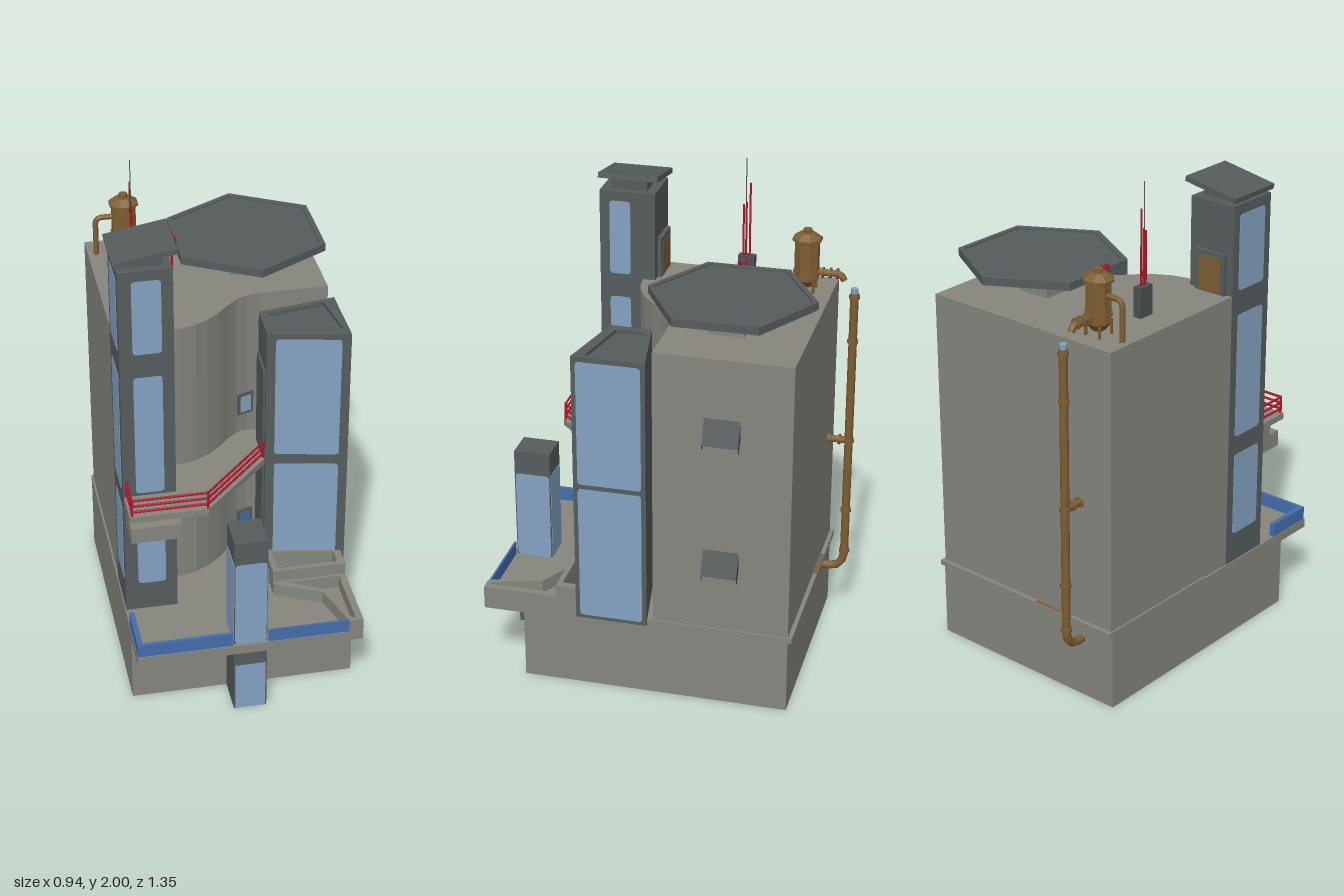
import * as THREE from 'three';

const mat = (name, color, side = THREE.FrontSide) => {
  const m = new THREE.MeshStandardMaterial({ color, side });
  m.name = name;
  return m;
};

export function createModel() {
  const root = new THREE.Group();
  root.name = 'building';
  const concrete = mat('concrete', 0x86867f);
  const dark = mat('dark metal', 0x565c5c);
  const hoodMat = mat('hood metal', 0x4c5050, THREE.DoubleSide);
  const glass = mat('glass', 0x84a3c3);
  const blue = mat('blue panel', 0x446dab);
  const red = mat('red paint', 0xb5162a);
  const brass = mat('brass', 0x7f5e33);

  // ---- helpers ----
  const add = (name, geo, m, x = 0, y = 0, z = 0) => {
    const mesh = new THREE.Mesh(geo, m);
    mesh.name = name;
    mesh.position.set(x, y, z);
    root.add(mesh);
    return mesh;
  };
  const box = (name, m, x0, x1, y0, y1, z0, z1) =>
    add(name, new THREE.BoxGeometry(x1 - x0, y1 - y0, z1 - z0), m, (x0 + x1) / 2, (y0 + y1) / 2, (z0 + z1) / 2);
  // upright prism from a plan outline of [x, z] points, wound anticlockwise so holes face inwards
  const prism = (name, m, pts, y0, y1, hole) => {
    const flat = (p) => {
      const v = p.map(([x, z]) => new THREE.Vector2(x, -z));
      return THREE.ShapeUtils.isClockWise(v) ? v.reverse() : v;
    };
    const shape = new THREE.Shape(flat(pts));
    if (hole) shape.holes.push(new THREE.Path(flat(hole).reverse()));
    const geo = new THREE.ExtrudeGeometry(shape, { depth: y1 - y0, bevelEnabled: false });
    geo.rotateX(-Math.PI / 2);
    return add(name, geo, m, 0, y0, 0);
  };
  // thin rounded plate along a wall from a to b in plan, facing outwards
  const pane = (name, m, a, b, y0, y1, inset = 0, r = 0.015, depth = 0.002) => {
    const w = Math.hypot(b[0] - a[0], b[1] - a[1]) / 2 - inset, h = (y1 - y0) / 2;
    const s = new THREE.Shape();
    s.moveTo(-w + r, -h);
    s.lineTo(w - r, -h); s.quadraticCurveTo(w, -h, w, -h + r);
    s.lineTo(w, h - r); s.quadraticCurveTo(w, h, w - r, h);
    s.lineTo(-w + r, h); s.quadraticCurveTo(-w, h, -w, h - r);
    s.lineTo(-w, -h + r); s.quadraticCurveTo(-w, -h, -w + r, -h);
    const geo = new THREE.ExtrudeGeometry(s, { depth, bevelEnabled: false, curveSegments: 3 });
    const mesh = add(name, geo, m, (a[0] + b[0]) / 2, (y0 + y1) / 2, (a[1] + b[1]) / 2);
    mesh.rotation.y = Math.atan2(a[1] - b[1], b[0] - a[0]);
    return mesh;
  };
  // straight rod between two points
  const rod = (name, m, a, b, r, sides = 6) => {
    const p = new THREE.Vector3(...a), q = new THREE.Vector3(...b);
    const mesh = add(name, new THREE.CylinderGeometry(r, r, p.distanceTo(q), sides), m);
    mesh.position.copy(p).add(q).multiplyScalar(0.5);
    mesh.quaternion.setFromUnitVectors(new THREE.Vector3(0, 1, 0), q.sub(p).normalize());
    return mesh;
  };
  // pipe with one rounded bend
  const pipe = (name, pts, r) => {
    const path = new THREE.CurvePath();
    const v = pts.map((p) => new THREE.Vector3(...p));
    path.add(new THREE.LineCurve3(v[0], v[1]));
    path.add(new THREE.QuadraticBezierCurve3(v[1], v[2], v[3]));
    path.add(new THREE.LineCurve3(v[3], v[4]));
    add(name, new THREE.TubeGeometry(path, 40, r, 10), brass);
  };

  // ---- hollow base, terrace slab and ledge ----
  prism('baseWalls', concrete, [[-0.46, -0.56], [0.43, -0.56], [0.43, 0.51], [-0.46, 0.51]], 0, 0.29,
    [[-0.455, -0.555], [0.425, -0.555], [0.425, 0.505], [-0.455, 0.505]]);
  box('terraceSlab', concrete, -0.46, 0.43, 0.285, 0.325, -0.56, 0.675);
  box('ledge', concrete, -0.46, 0.434, 0.312, 0.332, -0.577, 0);
  box('rustStain', brass, -0.24, -0.08, 0.331, 0.333, -0.575, -0.562);

  // ---- main block with the curved, faceted front ----
  const bend = new THREE.SplineCurve([[-0.25, 0.195], [-0.17, 0.185], [-0.1, 0.155], [-0.03, 0.1], [0.03, 0.035],
    [0.085, -0.005], [0.15, -0.02]].map((p) => new THREE.Vector2(...p)));
  const front = bend.getPoints(8).map((p) => [p.x, p.y]);
  prism('mainBlock', concrete, [[-0.452, -0.56], [-0.452, 0.195], ...front, [0.425, -0.02], [0.425, -0.56]], 0.325, 1.48);
  for (const [y, m, name] of [[0.41, blue, 'smallDoor'], [0.97, glass, 'smallWindow']]) {
    pane(name + 'Frame', dark, [0.055, 0.04], [0.12, 0.015], y, y + 0.095, 0, 0.004, 0.009);
    pane(name, m, [0.058, 0.048], [0.123, 0.023], y + 0.012, y + 0.083, 0.011, 0.004);
  }

  // ---- stair tower ----
  box('stairTower', dark, -0.455, -0.25, 0.325, 1.84, 0.145, 0.37);
  for (const [y0, y1] of [[0.45, 0.8], [0.88, 1.395], [1.495, 1.8]]) {
    pane('towerFrontWindow', glass, [-0.405, 0.37], [-0.295, 0.37], y0, y1);
    pane('towerLeftWindow', glass, [-0.25, 0.33], [-0.25, 0.245], y0, y1);
    pane('towerRightWindow', glass, [-0.455, 0.18], [-0.455, 0.335], y0, y1);
  }
  box('towerCapBlock', dark, -0.42, -0.28, 1.84, 1.885, 0.185, 0.33);
  box('towerCap', dark, -0.47, -0.23, 1.877, 1.898, 0.13, 0.37).rotation.z = 0.17;
  box('roofDoorFrame', dark, -0.425, -0.285, 1.48, 1.645, 0.127, 0.147);
  pane('roofDoor', brass, [-0.305, 0.127], [-0.405, 0.127], 1.485, 1.625, 0, 0.004);

  // ---- balcony with railing ----
  prism('balcony', concrete, [[-0.452, 0.15], [-0.452, 0.508], [-0.147, 0.508], [0.135, 0.21], [0.135, 0], [0, 0]], 0.842, 0.868);
  box('balconyBracketUpper', concrete, -0.445, -0.25, 0.795, 0.842, 0.36, 0.43);
  box('balconyBracketLower', concrete, -0.445, -0.25, 0.73, 0.796, 0.36, 0.485);
  const rail = [[-0.442, 0.37], [-0.442, 0.5], [-0.15, 0.5], [0.125, 0.205]];
  rail.forEach(([x, z], i) => {
    rod('railPost', red, [x, 0.865, z], [x, 0.943, z], 0.005);
    if (i) for (const y of [0.887, 0.913, 0.938])
      rod('railBar', red, [rail[i - 1][0], y, rail[i - 1][1]], [x, y, z], 0.005);
  });

  // ---- window bay ----
  const bay = [[0.135, 0.055], [0.445, 0], [0.445, 0.288], [0.13, 0.222]];
  prism('windowBay', dark, bay, 0.31, 1.425);
  prism('windowBayRim', dark, bay, 1.425, 1.44, [[0.165, 0.075], [0.395, 0.03], [0.425, 0.24], [0.165, 0.19]]);
  pane('bayInnerPanel', dark, bay[0], bay[3], 0.325, 1.27, 0.015, 0.004, 0.009);
  for (const [y0, y1] of [[0.325, 0.85], [0.895, 1.415]])
    pane('bayFrontGlass', glass, bay[3], bay[2], y0, y1, 0.035);
  for (const [y0, y1] of [[0.325, 0.885], [0.905, 1.42]])
    pane('baySideGlass', glass, bay[2], bay[1], y0, y1, 0.018);

  // ---- planters and blue parapet ----
  prism('upperPlanter', concrete, [[0.135, 0.2], [0.43, 0.26], [0.43, 0.375], [0.135, 0.375]], 0.325, 0.43,
    [[0.155, 0.24], [0.4, 0.285], [0.4, 0.355], [0.155, 0.355]]);
  prism('lowerPlanter', concrete, [[0.135, 0.37], [0.43, 0.37], [0.43, 0.675], [0.375, 0.675], [0.315, 0.475], [0.135, 0.39]],
    0.325, 0.38, [[0.19, 0.387], [0.402, 0.387], [0.402, 0.655], [0.388, 0.655], [0.328, 0.462]]);
  box('parapetFrontRight', blue, -0.455, -0.085, 0.325, 0.38, 0.655, 0.67);
  box('parapetFrontLeft', blue, 0.055, 0.376, 0.325, 0.38, 0.663, 0.671);
  box('parapetSide', blue, -0.458, -0.438, 0.325, 0.38, 0.46, 0.67);

  // ---- glass lift ----
  box('liftUpper', dark, -0.08, 0.05, 0.32, 0.8, 0.51, 0.66);
  box('liftLowerSide', dark, -0.08, -0.074, 0, 0.29, 0.51, 0.66);
  box('liftLowerSide', dark, 0.044, 0.05, 0, 0.29, 0.51, 0.66);
  box('liftLintel', dark, -0.08, 0.05, 0.215, 0.29, 0.65, 0.66);
  box('liftLowerGlass', glass, -0.075, 0.045, 0, 0.215, 0.652, 0.66);
  pane('liftFrontGlass', glass, [-0.08, 0.66], [0.05, 0.66], 0.325, 0.7, 0.003);
  pane('liftLeftGlass', glass, [0.05, 0.66], [0.05, 0.51], 0.325, 0.7, 0.004);
  pane('liftRightGlass', glass, [-0.08, 0.51], [-0.08, 0.66], 0.325, 0.7, 0.004);
  pane('liftBackGlass', glass, [0.05, 0.51], [-0.08, 0.51], 0.325, 0.7, 0.004);

  // ---- hexagonal landing pad and its ladder ----
  const hex = (r) => Array.from({ length: 6 }, (_, i) =>
    [0.145 + r * Math.sin(i * Math.PI / 3), -0.26 + r * Math.cos(i * Math.PI / 3)]);
  prism('landingPad', dark, hex(0.328), 1.595, 1.62);
  prism('landingPadRim', dark, hex(0.328), 1.62, 1.627, hex(0.305));
  box('padSupport', concrete, 0.07, 0.21, 1.48, 1.595, -0.32, -0.18);
  for (const z of [-0.245, -0.222]) {
    rod('ladderPost', red, [-0.152, 1.48, z], [-0.152, 1.645, z], 0.003);
    rod('ladderHandle', red, [-0.154, 1.642, z], [-0.136, 1.642, z], 0.004);
    rod('ladderHandleEnd', red, [-0.138, 1.62, z], [-0.138, 1.642, z], 0.003);
  }
  for (let y = 1.5; y < 1.65; y += 0.028) rod('ladderRung', red, [-0.152, y, -0.245], [-0.152, y, -0.222], 0.003);

  // ---- aerials ----
  box('aerialBox', hoodMat, -0.33, -0.295, 1.48, 1.6, -0.247, -0.18);
  for (const [z, top] of [[-0.198, 1.81], [-0.209, 1.82], [-0.224, 1.9]])
    rod('aerial', red, [-0.312, 1.6, z], [-0.312, top, z], 0.004);
  rod('aerialTip', dark, [-0.312, 1.8, -0.207], [-0.312, 2, -0.207], 0.002);

  // ---- roof tank ----
  const tx = -0.305, tz = -0.455;
  const profile = [[0, 1.5], [0.025, 1.5], [0.05, 1.53], [0.05, 1.56], [0.054, 1.56], [0.054, 1.572], [0.05, 1.572],
    [0.05, 1.685], [0.06, 1.69], [0.06, 1.7], [0.03, 1.722], [0.018, 1.722], [0.018, 1.737], [0, 1.737]];
  const tank = new THREE.LatheGeometry(profile.map((p) => new THREE.Vector2(...p)), 8, Math.PI / 8).toNonIndexed();
  tank.computeVertexNormals();
  add('tank', tank, brass, tx, 0, tz);
  for (const sx of [-1, 1]) for (const sz of [-1, 1])
    rod('tankLeg', brass, [tx + sx * 0.033, 1.48, tz + sz * 0.033], [tx + sx * 0.033, 1.54, tz + sz * 0.033], 0.006);
  pipe('tankPipe', [[tx - 0.04, 1.64, tz], [-0.39, 1.64, tz], [-0.418, 1.64, tz], [-0.418, 1.61, tz], [-0.418, 1.48, tz]], 0.011);
  pipe('tankOutlet', [[tx, 1.56, tz - 0.04], [tx, 1.56, -0.565], [tx, 1.56, -0.59], [tx, 1.545, -0.6], [tx, 1.535, -0.605]], 0.014);
  for (const z of [-0.52, -0.55, -0.577]) rod('outletFlange', brass, [tx, 1.56, z - 0.004], [tx, 1.56, z + 0.004], 0.022, 10);

  // ---- rear downpipe ----
  pipe('downpipe', [[tx, 1.485, -0.648], [tx, 0.33, -0.648], [tx, 0.25, -0.648], [tx, 0.25, -0.59], [tx, 0.25, -0.555]], 0.017);
  for (const y of [0.33, 0.52, 0.84, 1.28, 1.47])
    rod('pipeCollar', brass, [tx, y - 0.007, -0.648], [tx, y + 0.007, -0.648], 0.022, 10);
  rod('pipeBranch', brass, [tx, 0.84, -0.648], [tx, 0.84, -0.555], 0.014, 10);
  for (const z of [-0.572, -0.61]) rod('branchFlange', brass, [tx, 0.84, z - 0.005], [tx, 0.84, z + 0.005], 0.021, 10);
  rod('pipeCap', glass, [tx, 1.485, -0.648], [tx, 1.505, -0.648], 0.015, 8);

  // ---- vent hoods on the side wall ----
  for (const y of [0.57, 1.13]) {
    const cover = add('ventHoodCover', new THREE.PlaneGeometry(0.14, 0.108), hoodMat, 0.4445, y + 0.06, -0.29);
    cover.rotation.y = Math.PI / 2;
    cover.rotateX(-0.39);
    const side = new THREE.Shape([[0.424, y + 0.11], [0.465, y + 0.01], [0.461, y - 0.012], [0.45, y - 0.012], [0.424, y + 0.03]]
      .map((p) => new THREE.Vector2(...p)));
    for (const z of [-0.36, -0.22]) add('ventHoodSide', new THREE.ShapeGeometry(side), hoodMat, 0, 0, z);
  }
  return root;
}
